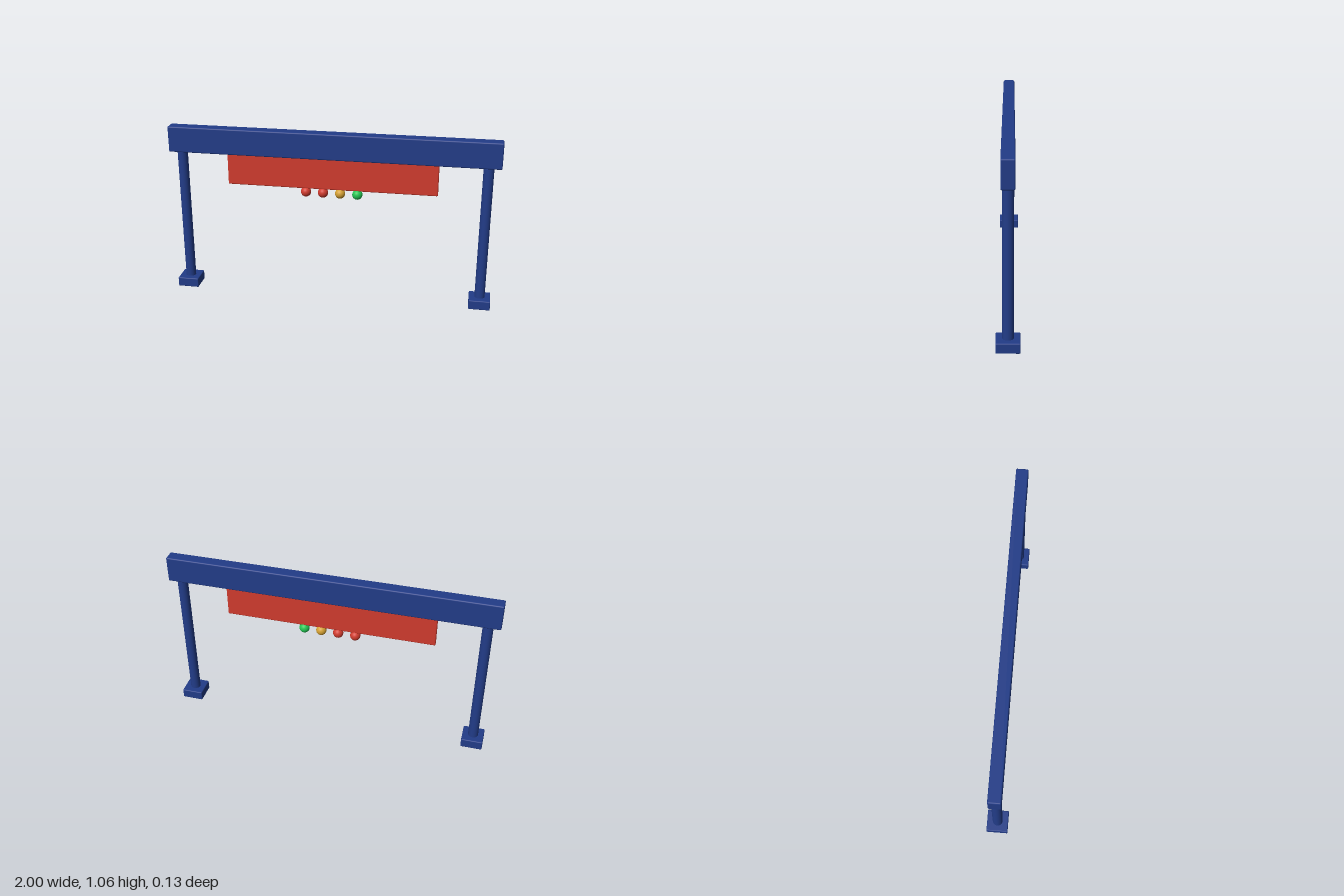
import * as THREE from 'three';
import { RoundedBoxGeometry } from 'three/addons/geometries/RoundedBoxGeometry.js';

function material(name, color) {
  const m = new THREE.MeshStandardMaterial({ color });
  m.name = name;
  return m;
}

export function createModel() {
  const model = new THREE.Group();
  model.name = 'startGate';
  const blue = material('frame blue', 0x223c88);
  const red = material('signal red', 0xd03b2e);
  const amber = material('lamp amber', 0xd4a032);
  const green = material('lamp green', 0x22c552);

  function add(name, geometry, mat, x, y) {
    const mesh = new THREE.Mesh(geometry, mat);
    mesh.name = name;
    mesh.position.set(x, y, 0);
    model.add(mesh);
  }

  // Crossbeam and the board hanging under it
  add('crossbeam', new RoundedBoxGeometry(2, 0.16, 0.074, 3, 0.008), blue, 0, 0.98);
  add('board', new RoundedBoxGeometry(1.28, 0.205, 0.026, 3, 0.008), red, 0, 0.8075);

  // Posts standing on square feet
  for (const side of [-1, 1]) {
    const label = side > 0 ? 'left' : 'right';
    add(label + 'Post', new THREE.CylinderGeometry(0.031, 0.031, 0.86, 32), blue, side * 0.925, 0.48);
    add(label + 'Foot', new RoundedBoxGeometry(0.132, 0.06, 0.132, 3, 0.006), blue, side * 0.925, 0.03);
  }

  // Row of round lamps along the lower edge of the board
  [red, red, amber, green].forEach((mat, i) => {
    add('lamp' + (i + 1), new THREE.SphereGeometry(0.031, 32, 20), mat, (i - 1.5) * 0.105, 0.682);
  });

  return model;
}
